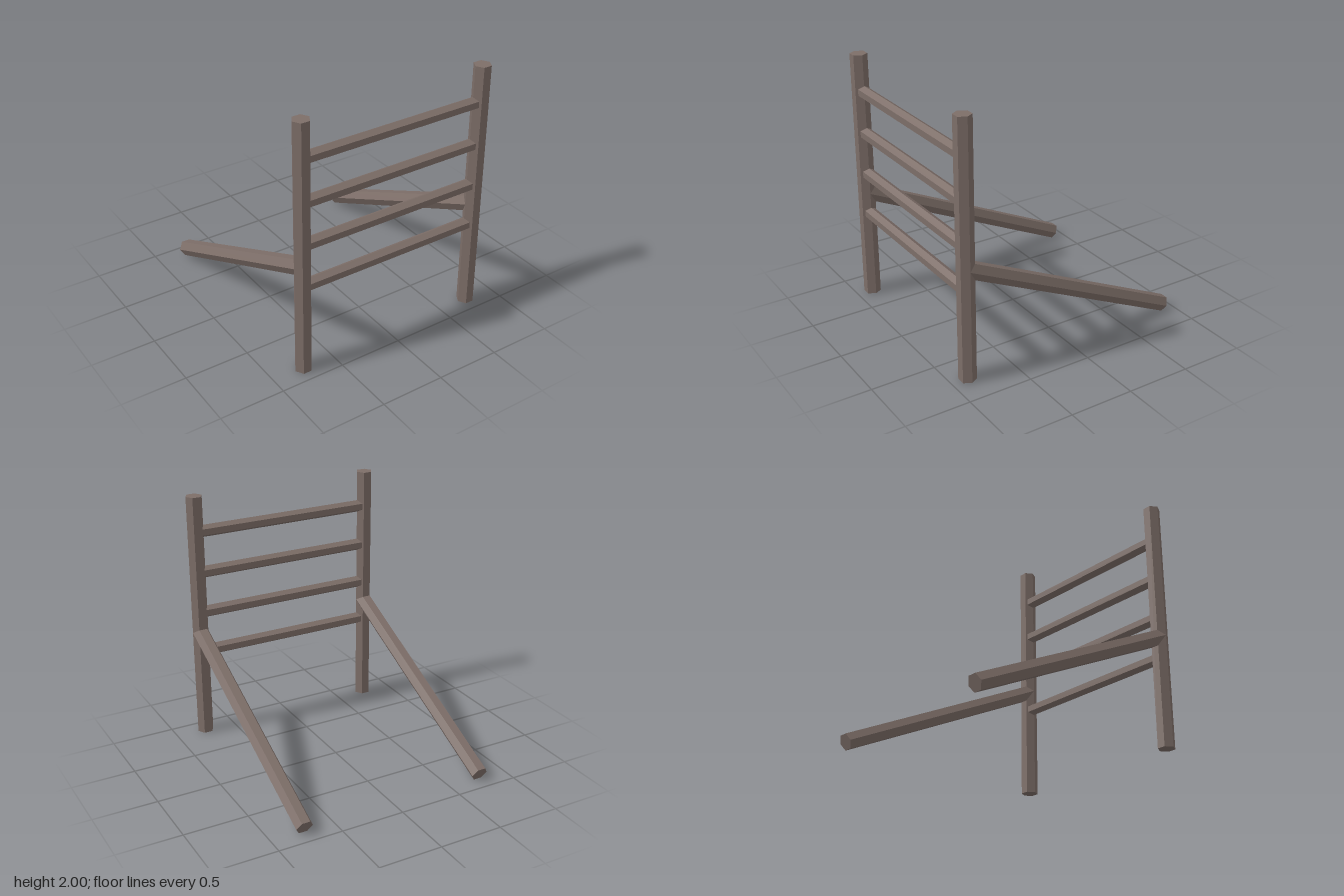
import * as THREE from 'three';

export function createModel() {
  const model = new THREE.Group();
  model.name = 'barrier';
  const wood = new THREE.MeshStandardMaterial({ color: 0x7d6e68, flatShading: true });
  wood.name = 'weathered wood';

  const postX = 0.75, postZ = 0.87, postRadius = 0.066;
  const up = new THREE.Vector3(0, 1, 0);

  // Hexagonal pole between two points; turn sets where its edges lie
  function pole(name, from, to, radius, turn) {
    const a = new THREE.Vector3(...from), b = new THREE.Vector3(...to);
    const dir = b.clone().sub(a);
    const geometry = new THREE.CylinderGeometry(radius, radius, dir.length(), 6, 1, false, turn);
    const mesh = new THREE.Mesh(geometry, wood);
    mesh.name = name;
    mesh.position.copy(a).add(b).multiplyScalar(0.5);
    mesh.quaternion.setFromUnitVectors(up, dir.normalize());
    model.add(mesh);
  }

  // Upright posts and the sloping braces behind them
  for (const [side, s] of [['left', 1], ['right', -1]]) {
    const x = s * postX;
    pole(side + 'Post', [x, 0, postZ], [x, 2, postZ], postRadius, Math.PI / 6);
    pole(side + 'Brace', [x, 0.054, -0.902], [x, 0.882, postZ], postRadius, Math.PI / 6);
  }

  // Four evenly spaced rails, edges at top and bottom
  for (let i = 0; i < 4; i++) {
    const y = 0.714 + i * 0.333;
    pole('rail' + (i + 1), [-postX, y, postZ - 0.002], [postX, y, postZ - 0.002], 0.049, Math.PI / 6);
  }

  return model;
}
